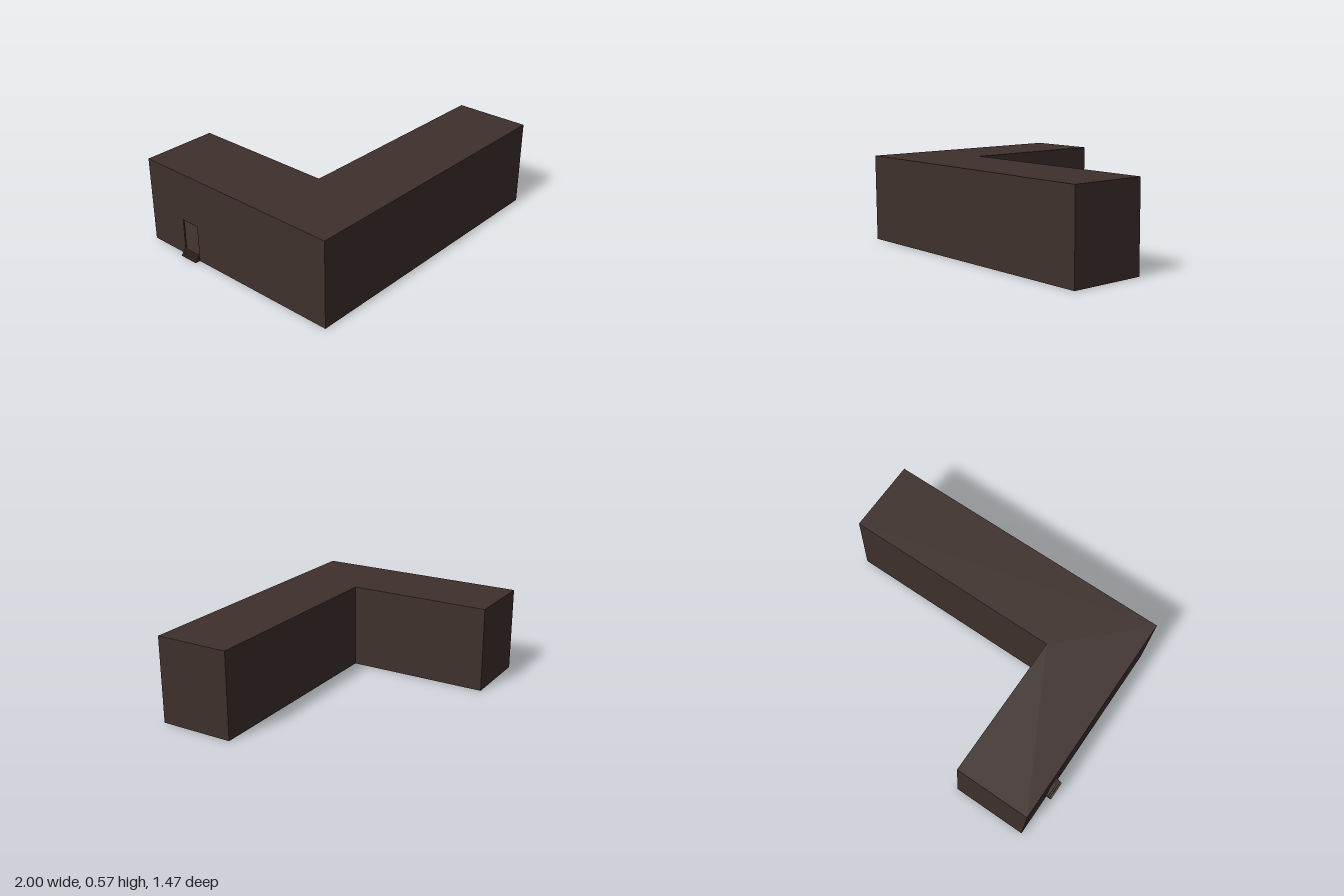
import * as THREE from 'three';

export function createModel() {
  const group = new THREE.Group();
  const material = new THREE.MeshStandardMaterial({ color: 0x3e302c, flatShading: true });
  const add = (name, geometry) => {
    const mesh = new THREE.Mesh(geometry, material);
    mesh.name = name;
    group.add(mesh);
    return mesh;
  };
  const polygon = (points) => new THREE.Shape(points.map(([x, y]) => new THREE.Vector2(x, y)));
  const extrude = (points, depth) =>
    new THREE.ExtrudeGeometry(polygon(points), { depth, bevelEnabled: false });

  const FLOOR = 0.04, CEILING = 0.56, TOP = 0.57, THICK = 0.01;
  const DOOR_TOP = 0.245, DOOR_BACK = -0.445, DOOR_FRONT = -0.315;
  const LEFT = -0.965, BACK = -0.735;

  // L-shaped plan as [x, z], running so that the inside is on the left of each edge seen from below
  const plan = [
    [LEFT, BACK], [LEFT, 0.735], [1, 0.735], [1, 0.235], [-0.465, 0.235], [-0.465, BACK],
  ];

  // Floor and roof slabs
  const slab = (name, y0, y1) => {
    const geometry = extrude(plan.map(([x, z]) => [x, -z]), y1 - y0);
    geometry.rotateX(-Math.PI / 2).translate(0, y0, 0);
    add(name, geometry);
  };
  slab('floorSlab', 0, FLOOR);
  slab('roof', CEILING, TOP);

  // Outer walls; the first has the doorway cut out of its lower edge
  plan.forEach(([x, z], i) => {
    const [nx, nz] = plan[(i + 1) % plan.length];
    const length = Math.hypot(nx - x, nz - z);
    const outline = [[0, FLOOR]];
    if (i === 0) {
      const a = DOOR_BACK - BACK, b = DOOR_FRONT - BACK;
      outline.push([a, FLOOR], [a, DOOR_TOP], [b, DOOR_TOP], [b, FLOOR]);
    }
    outline.push([length, FLOOR], [length, CEILING], [0, CEILING]);
    const wall = add(i === 0 ? 'doorWall' : 'wall', extrude(outline, THICK).translate(0, 0, -THICK));
    wall.position.set(x, 0, z);
    wall.rotation.y = -Math.atan2(nz - z, nx - x);
  });

  // Partition closing the room behind the doorway
  add('partition', new THREE.BoxGeometry(0.48, CEILING - FLOOR, THICK))
    .position.set(-0.715, (CEILING + FLOOR) / 2, -0.205);

  // Three doorsteps as one stepped block
  const rise = 0.012, tread = 0.035 / 3, steps = [[LEFT, 0], [LEFT, 3 * rise]];
  for (let i = 3; i > 0; i--) {
    const x = LEFT - (4 - i) * tread;
    steps.push([x, i * rise], [x, (i - 1) * rise]);
  }
  add('doorSteps', extrude(steps, DOOR_FRONT - DOOR_BACK)).position.z = DOOR_BACK;

  return group;
}
